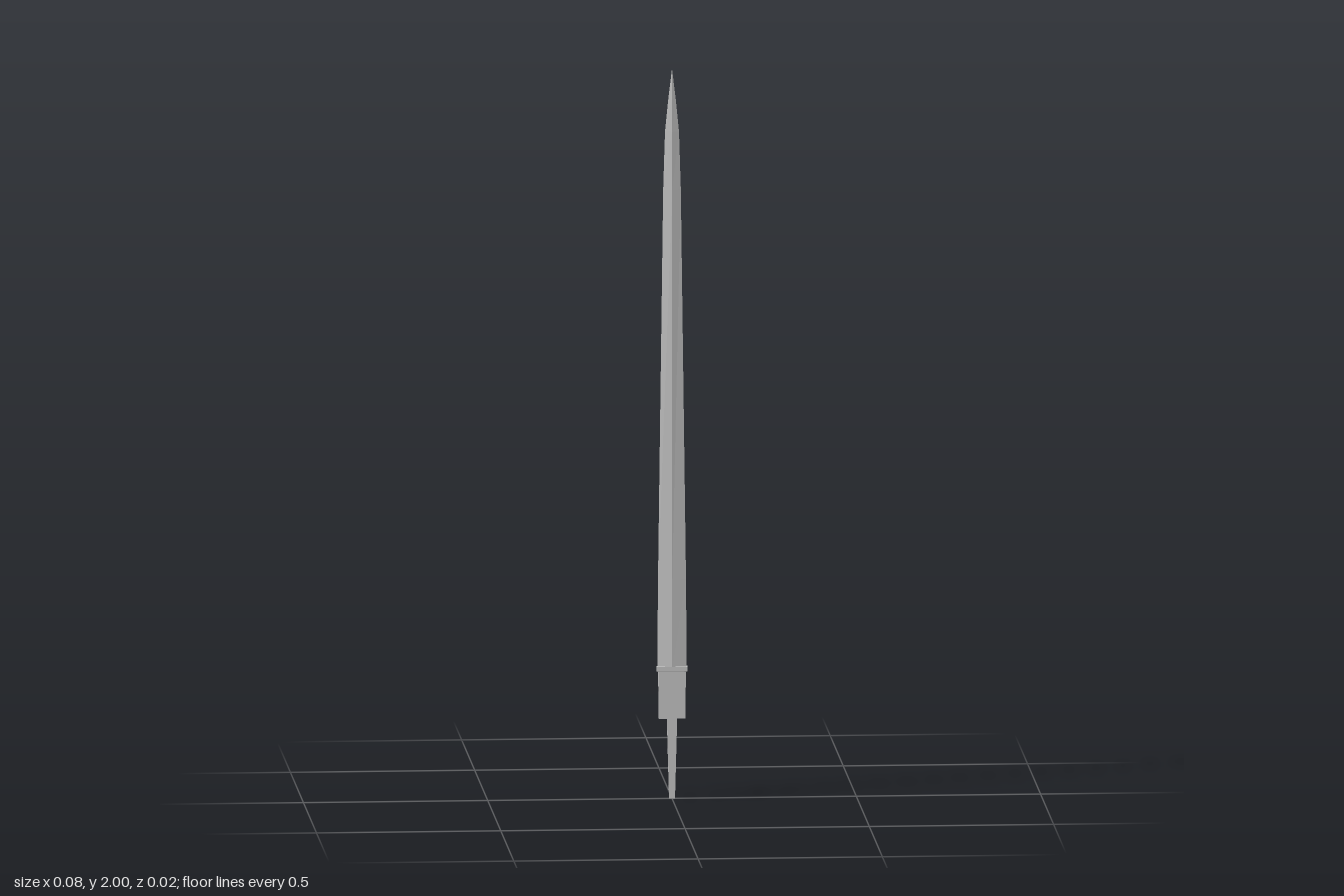
import * as THREE from 'three';

const material = new THREE.MeshStandardMaterial({ color: 0xcccccc, flatShading: true });

// Loft four-cornered sections [y, halfWidth, halfDepth] from bottom to top, closed at both ends.
function loft(name, sections, corners) {
  const rings = sections.map(([y, w, d]) =>
    corners.map(([cx, cz]) => new THREE.Vector3(cx * w, y, cz * d)));
  const pos = [];
  const tri = (...pts) => pts.forEach((p) => pos.push(p.x, p.y, p.z));
  for (let i = 0; i < rings.length - 1; i++) {
    const lo = rings[i], hi = rings[i + 1];
    for (let j = 0; j < 4; j++) {
      const k = (j + 1) % 4;
      tri(lo[j], lo[k], hi[k]);
      tri(lo[j], hi[k], hi[j]);
    }
  }
  const b = rings[0], t = rings[rings.length - 1];
  tri(b[0], b[2], b[1]);
  tri(b[0], b[3], b[2]);
  tri(t[0], t[1], t[2]);
  tri(t[0], t[2], t[3]);
  const geometry = new THREE.BufferGeometry();
  geometry.setAttribute('position', new THREE.Float32BufferAttribute(pos, 3));
  geometry.computeVertexNormals();
  const mesh = new THREE.Mesh(geometry, material);
  mesh.name = name;
  return mesh;
}

// Corner order runs counter-clockwise seen from above.
const DIAMOND = [[1, 0], [0, -1], [-1, 0], [0, 1]];
const RECTANGLE = [[1, 1], [1, -1], [-1, -1], [-1, 1]];

export function createModel() {
  const group = new THREE.Group();
  group.name = 'swordBlade';

  // Long tapering blade with a central ridge and a sharp point
  group.add(loft('blade', [
    [0.35, 0.04, 0.008],
    [0.6, 0.038, 0.008],
    [1.67, 0.024, 0.007],
    [1.83, 0.019, 0.006],
    [1.92, 0.01, 0.0035],
    [2.0, 0.0003, 0.0002],
  ], DIAMOND));

  // Solid block at the root of the blade, with a narrow lip on top
  group.add(loft('ricasso', [
    [0.22, 0.036, 0.009],
    [0.348, 0.037, 0.009],
    [0.35, 0.042, 0.01],
    [0.362, 0.042, 0.01],
  ], RECTANGLE));

  // Thin tapering tang
  group.add(loft('tang', [
    [0, 0.008, 0.003],
    [0.22, 0.014, 0.003],
  ], RECTANGLE));

  return group;
}
